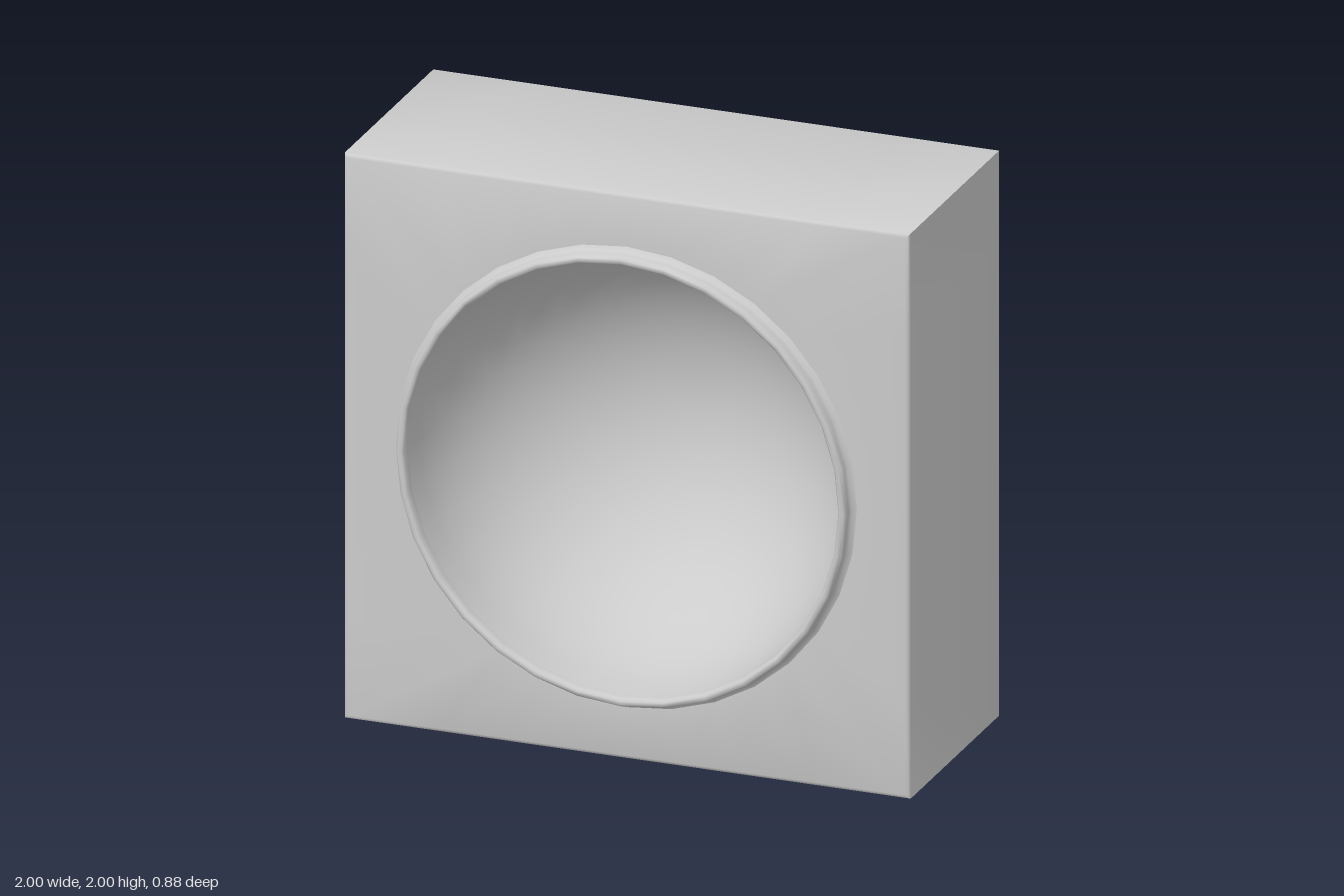
import * as THREE from 'three';
import { toCreasedNormals } from 'three/addons/utils/BufferGeometryUtils.js';

const SEGMENTS = 32;

// One cross-section loop around the z axis: square or round, with half-width r
function loop(r, z, square) {
  const points = [];
  for (let j = 0; j < SEGMENTS; j++) {
    const a = (j / SEGMENTS) * Math.PI * 2;
    const c = Math.cos(a), s = Math.sin(a);
    const k = square ? r / Math.max(Math.abs(c), Math.abs(s)) : r;
    points.push([c * k, s * k, z]);
  }
  return points;
}

// Skins a list of [r, z] rows into a surface
function loft(rows, creaseAngle) {
  const loops = rows.map(([r, z, square]) => loop(r, z, square));
  const index = [];
  for (let i = 0; i < loops.length - 1; i++) {
    for (let j = 0; j < SEGMENTS; j++) {
      const k = (j + 1) % SEGMENTS;
      const a = i * SEGMENTS + j, b = i * SEGMENTS + k;
      const c = b + SEGMENTS, d = a + SEGMENTS;
      if (rows[i][0] > 0) index.push(a, b, c);
      if (rows[i + 1][0] > 0) index.push(a, c, d);
      else if (rows[i][0] > 0) continue;
    }
  }
  const geometry = new THREE.BufferGeometry();
  geometry.setAttribute('position', new THREE.Float32BufferAttribute(loops.flat(2), 3));
  geometry.setIndex(index);
  return toCreasedNormals(geometry, creaseAngle);
}

export function createModel() {
  const group = new THREE.Group();
  const material = new THREE.MeshStandardMaterial({ color: 0xcccccc });
  const add = (name, geometry) => {
    const mesh = new THREE.Mesh(geometry, material);
    mesh.name = name;
    mesh.position.y = 1;
    group.add(mesh);
  };

  // Square block with softened edges, its front face open to a circle
  add('block', loft([
    [0, -0.44, true], [0.95, -0.44, true], [0.986, -0.44, true],
    [0.996, -0.436, true], [1, -0.426, true],
    [1, 0.371, true], [0.996, 0.381, true], [0.986, 0.385, true],
    [0.815, 0.385, false],
  ], 0.9));

  // Raised lip with a small flare at its foot
  add('rim', loft([
    [0.815, 0.385], [0.8, 0.395], [0.795, 0.41], [0.795, 0.432],
    [0.788, 0.44], [0.775, 0.44], [0.768, 0.432], [0.768, 0.4],
  ], 0.9));

  // Hemispherical hollow
  const bowlRows = [];
  const steps = 14;
  for (let i = 0; i <= steps; i++) {
    const a = (i / steps) * Math.PI / 2;
    bowlRows.push([i === steps ? 0 : 0.768 * Math.cos(a), 0.4 - 0.768 * Math.sin(a)]);
  }
  add('bowl', loft(bowlRows, 0.9));

  return group;
}
